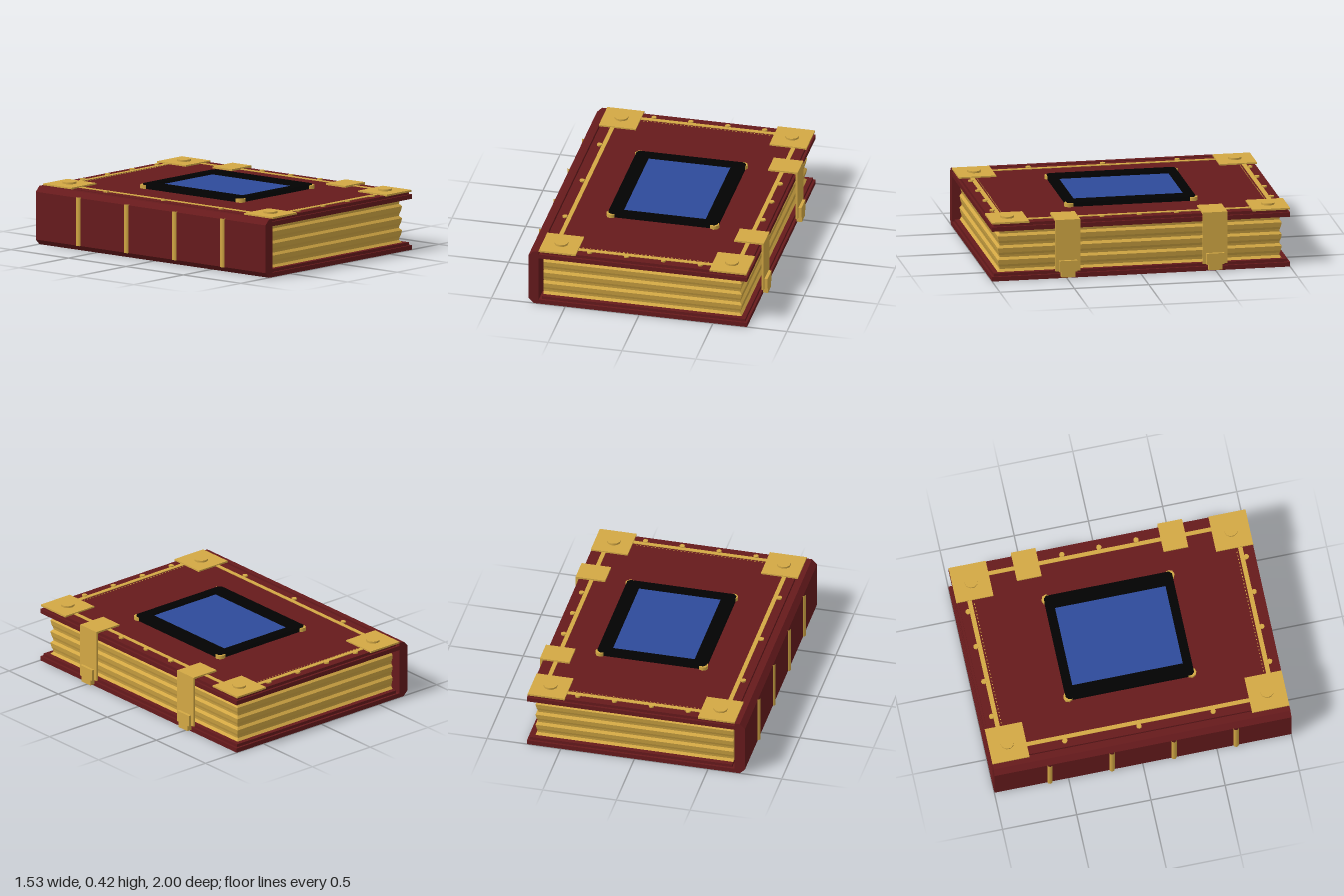
import * as THREE from 'three';

const material = (name, color) => {
  const m = new THREE.MeshStandardMaterial({ color });
  m.name = name;
  return m;
};

export function createModel() {
  const leather = material('red leather', 0x661a1c);
  const gold = material('gold', 0xd3a844);
  const black = material('black frame', 0x020202);
  const blue = material('blue panel', 0x2e4a9a);
  const book = new THREE.Group();
  book.name = 'book';

  const add = (name, geometry, mat, x = 0, y = 0, z = 0) => {
    const mesh = new THREE.Mesh(geometry, mat);
    mesh.name = name;
    mesh.position.set(x, y, z);
    book.add(mesh);
    return mesh;
  };
  // Box given by its limits on each axis
  const box = (name, mat, x0, x1, y0, y1, z0, z1) =>
    add(name, new THREE.BoxGeometry(x1 - x0, y1 - y0, z1 - z0), mat,
      (x0 + x1) / 2, (y0 + y1) / 2, (z0 + z1) / 2);
  const disc = (name, mat, r, y0, y1, x, z, sides) =>
    add(name, new THREE.CylinderGeometry(r, r, y1 - y0, sides), mat, x, (y0 + y1) / 2, z);

  // Covers: a wide board with a slightly smaller one on it
  for (const [name, y] of [['backCover', 0], ['frontCover', 0.34]]) {
    box(name, leather, -0.69, 0.73, y, y + 0.03, -1, 1);
    box(name + 'Panel', leather, -0.66, 0.714, y + 0.03, y + 0.05, -0.985, 0.985);
  }

  // Spine with chamfered outer edges
  const profile = new THREE.Shape([
    [-0.68, 0], [-0.68, 0.39], [-0.715, 0.39], [-0.75, 0.355], [-0.75, 0.035], [-0.715, 0],
  ].map(([x, y]) => new THREE.Vector2(x, y)));
  add('spine', new THREE.ExtrudeGeometry(profile, { depth: 2, bevelEnabled: false }), leather, 0, 0, -1);

  // Raised half-round bands on the spine, open at the ends
  for (const z of [-0.627, -0.209, 0.209, 0.627]) {
    add('spineBand', new THREE.CylinderGeometry(0.02, 0.02, 0.325, 8, 1, true), gold, -0.745, 0.1975, z);
  }

  // Page block whose three open edges ripple with height
  const rows = 18;
  const pages = new THREE.BoxGeometry(1.343, 0.29, 1.906, 1, rows, 1).toNonIndexed();
  const pos = pages.attributes.position;
  for (let i = 0; i < pos.count; i++) {
    const row = Math.round((pos.getY(i) / 0.29 + 0.5) * rows);
    const inset = [0, 0.012, 0.003, 0.015, 0.006][(row * 3) % 5];
    if (pos.getX(i) > 0) pos.setX(i, pos.getX(i) - inset);
    pos.setZ(i, pos.getZ(i) - Math.sign(pos.getZ(i)) * inset);
  }
  pages.computeVertexNormals();
  add('pages', pages, gold, 0.0115, 0.195, 0);

  // Corner plates with round studs
  for (const s of [-1, 1]) {
    for (const x of [-0.555, 0.6]) {
      box('cornerPlate', gold, x - 0.125, x + 0.125, 0.388, 0.4, s * 0.875 - 0.125, s * 0.875 + 0.125);
      disc('cornerStud', gold, 0.046, 0.4, 0.413, x, s * 0.875, 10);
    }
  }

  // Border strips, stitches and nails
  box('sideBorder', gold, -0.602, -0.574, 0.388, 0.394, -0.75, 0.75);
  box('sideBorder', gold, 0.623, 0.651, 0.388, 0.394, -0.75, 0.75);
  for (const s of [-1, 1]) {
    box('endBorder', gold, -0.43, 0.475, 0.388, 0.394, s * 0.912 - 0.015, s * 0.912 + 0.015);
    for (let x = -0.41; x < 0.46; x += 0.025) {
      box('stitch', gold, x, x + 0.008, 0.388, 0.392, s * 0.884 - 0.003, s * 0.884 + 0.003);
    }
    for (const x of [-0.35, -0.1, 0.15, 0.4]) disc('nail', gold, 0.018, 0.388, 0.4, x, s * 0.937, 8);
  }
  for (const z of [-0.5, 0, 0.5]) disc('nail', gold, 0.018, 0.388, 0.4, -0.617, z, 8);
  for (const z of [-0.25, 0, 0.25]) disc('nail', gold, 0.018, 0.388, 0.4, 0.665, z, 8);

  // Clasps folding over the fore edge
  for (const z of [-0.494, 0.494]) {
    box('claspTop', gold, 0.545, 0.745, 0.388, 0.402, z - 0.083, z + 0.083);
    box('claspStrap', gold, 0.73, 0.745, 0.05, 0.39, z - 0.083, z + 0.083);
    box('claspTab', gold, 0.73, 0.765, 0.012, 0.05, z - 0.046, z + 0.046);
    box('claspLock', gold, 0.745, 0.765, 0.05, 0.125, z - 0.06, z + 0.06);
  }

  // Framed panel: clipped corners and a rectangular opening
  const points = (list) => list.map(([x, z]) => new THREE.Vector2(x, z));
  const w = 0.37, h = 0.432, c = 0.018;
  const rim = new THREE.Shape(points([
    [-w + c, -h], [w - c, -h], [w, -h + c], [w, h - c], [w - c, h], [-w + c, h], [-w, h - c], [-w, -h + c],
  ]));
  rim.holes.push(new THREE.Path(points([[-0.28, -0.373], [-0.28, 0.373], [0.28, 0.373], [0.28, -0.373]])));
  const frame = add('frame', new THREE.ExtrudeGeometry(rim, { depth: 0.034, bevelEnabled: false }), black, 0.025, 0.388, 0);
  frame.rotation.x = -Math.PI / 2;
  box('panel', blue, -0.256, 0.306, 0.388, 0.404, -0.374, 0.374);
  for (const sx of [-1, 1]) {
    for (const sz of [-1, 1]) disc('frameStud', gold, 0.033, 0.388, 0.415, 0.025 + sx * 0.349, sz * 0.415, 8);
  }
  return book;
}
